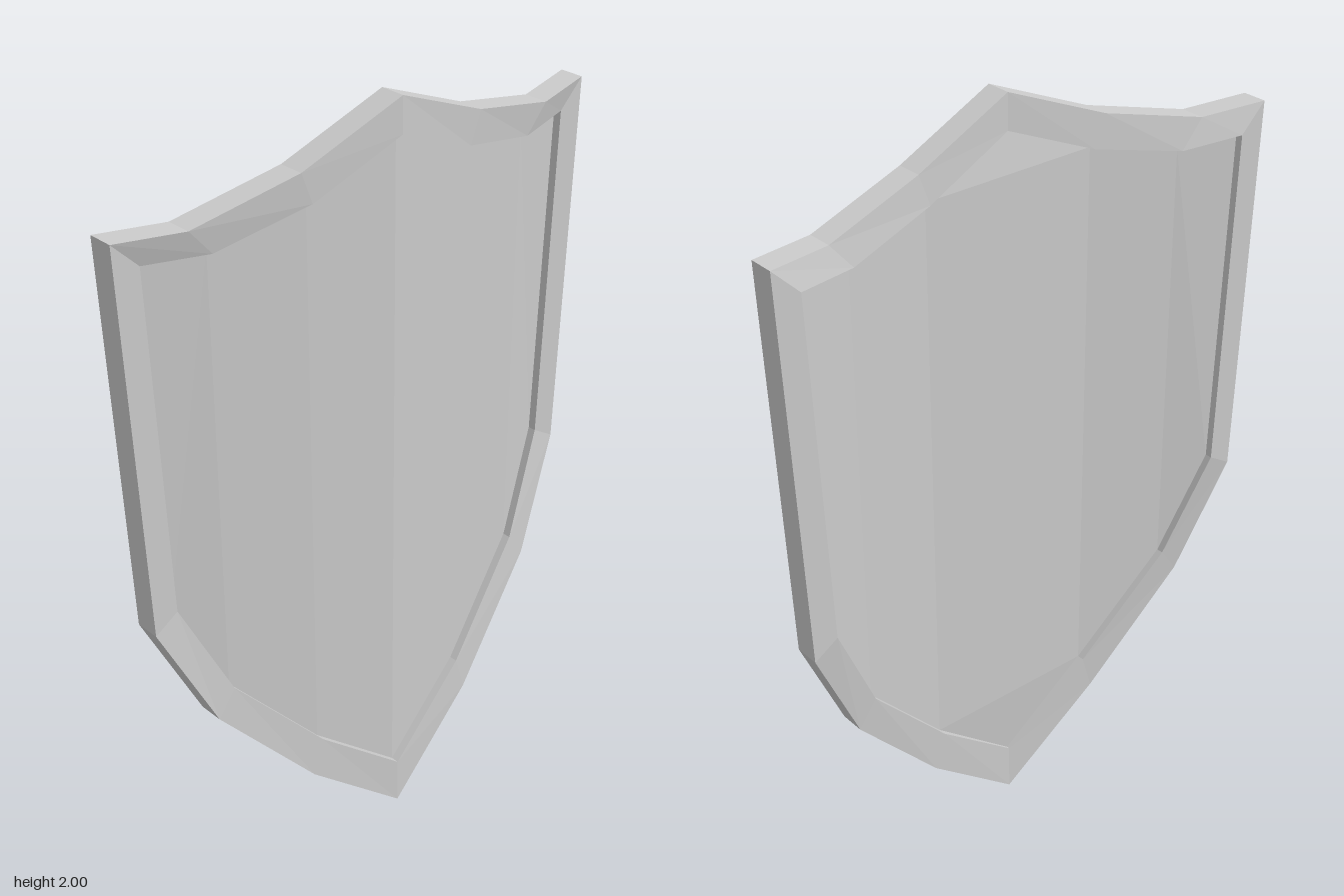
import * as THREE from 'three';

// Half outlines from the top peak down the left side to the bottom tip
const outerHalf = [[0, 2], [0.27, 1.89], [0.54, 1.825], [0.71, 1.835], [0.67, 0.83], [0.53, 0.53], [0.27, 0.23], [0, 0]];
const innerHalf = [[0, 1.91], [0.24, 1.81], [0.48, 1.755], [0.64, 1.765], [0.605, 0.87], [0.48, 0.6], [0.24, 0.33], [0, 0.13]];
// Depth of each column, curving back toward the sides
const frontZ = [0.088, 0.062, 0.017, -0.022];
const backZ = [0.022, -0.004, -0.049, -0.088];
const column = (i) => Math.min(i, 7 - i);

// Full closed loop of 3D points, clockwise from the front, with a depth offset
function loop(half, depths, offset = 0) {
  const left = half.map(([x, y], i) => [x, y, depths[column(i)] + offset]);
  const right = left.slice(1, -1).reverse().map(([x, y, z]) => [-x, y, z]);
  return [...left, ...right];
}

function facetedMesh(name, triangles) {
  const geometry = new THREE.BufferGeometry();
  geometry.setAttribute('position', new THREE.Float32BufferAttribute(triangles.flat(2), 3));
  geometry.computeVertexNormals();
  const material = new THREE.MeshStandardMaterial({ color: 0xcccccc, flatShading: true, side: THREE.DoubleSide });
  const mesh = new THREE.Mesh(geometry, material);
  mesh.name = name;
  return mesh;
}

const quad = (a, b, c, d) => [[a, b, c], [a, c, d]];

// Strip of quads joining two closed loops
function band(a, b) {
  return a.flatMap((p, i) => {
    const j = (i + 1) % a.length;
    return quad(p, b[i], b[j], a[j]);
  });
}

export function createModel() {
  const shield = new THREE.Group();
  shield.name = 'shield';

  // Raised rim: front face, inner wall, back face, outer wall
  const rings = [
    loop(outerHalf, frontZ), loop(innerHalf, frontZ),
    loop(innerHalf, backZ), loop(outerHalf, backZ),
  ];
  const rimFaces = rings.flatMap((ring, i) => band(ring, rings[(i + 1) % 4]));
  shield.add(facetedMesh('rim', rimFaces));

  // Recessed front panel, creased along every column
  const front = loop(innerHalf, frontZ, -0.022);
  const frontFaces = [];
  for (let i = 0; i < 3; i++) {
    frontFaces.push(...quad(front[i], front[7 - i], front[6 - i], front[i + 1]));
    const m = (k) => front[(14 - k) % 14];
    frontFaces.push(...quad(m(i), m(i + 1), m(6 - i), m(7 - i)));
  }
  shield.add(facetedMesh('frontPanel', frontFaces));

  // Back panel: flat centre facet, side facets and small end triangles
  const back = loop(innerHalf, backZ, 0.019);
  back[0][2] = back[7][2] = 0.03;
  const backFaces = [
    [back[0], back[1], back[13]],
    [back[7], back[8], back[6]],
    ...quad(back[13], back[1], back[6], back[8]),
  ];
  for (let i = 1; i < 3; i++) {
    backFaces.push(...quad(back[i], back[i + 1], back[6 - i], back[7 - i]));
    backFaces.push(...quad(back[14 - i], back[7 + i], back[8 + i], back[13 - i]));
  }
  shield.add(facetedMesh('backPanel', backFaces));

  return shield;
}
